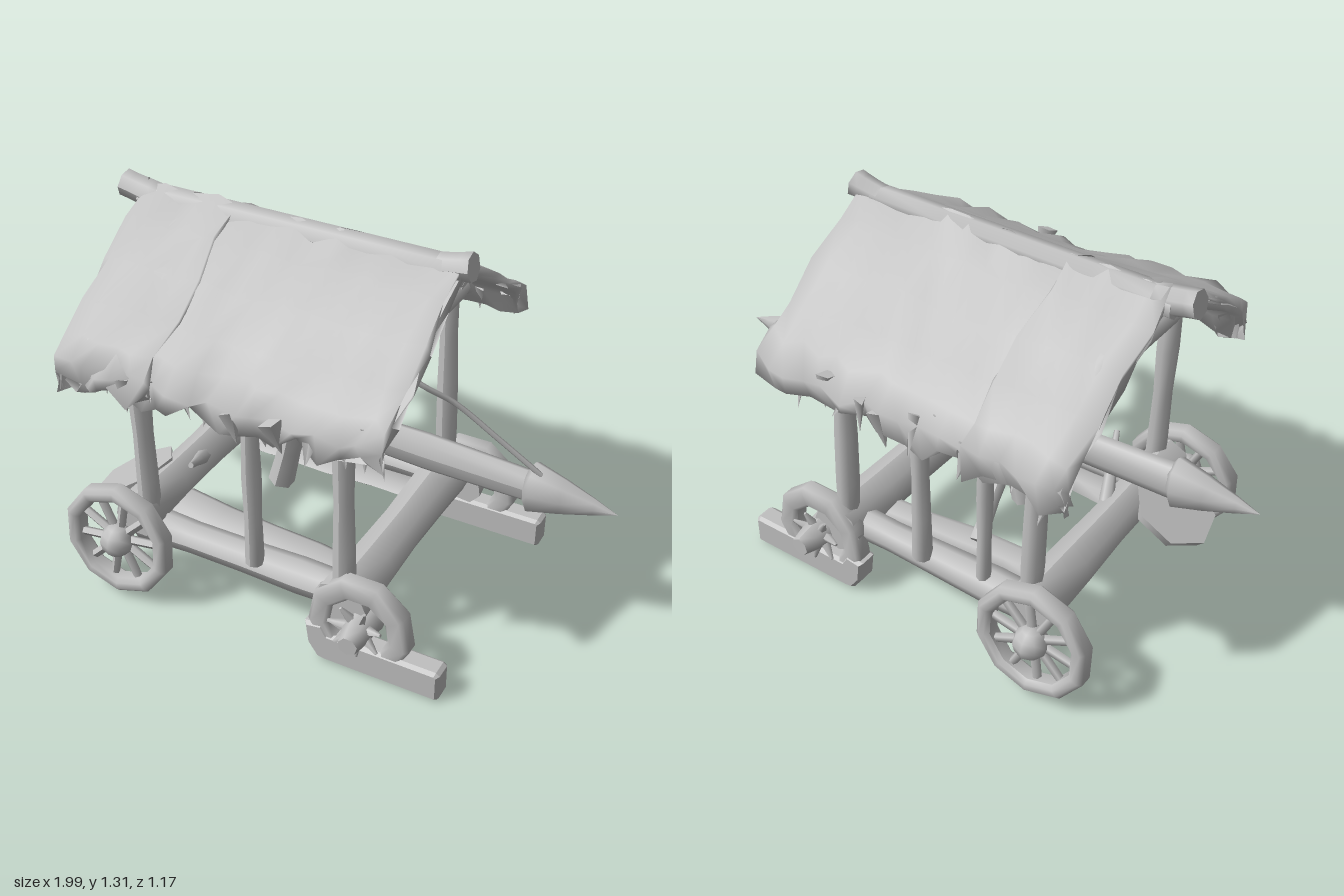
import * as THREE from 'three';

const V = (x, y, z) => new THREE.Vector3(x, y, z);

export function createModel() {
  const root = new THREE.Group();
  root.name = 'batteringRam';
  const mat = new THREE.MeshStandardMaterial({ color: 0xc0c0c0, side: THREE.DoubleSide });
  mat.name = 'weatheredGrey';

  let seed = 7;
  const rnd = () => {
    seed = (seed * 16807) % 2147483647;
    return seed / 2147483647 - 0.5;
  };

  const add = (name, geo, parent = root) => {
    const m = new THREE.Mesh(geo, mat);
    m.name = name;
    parent.add(m);
    return m;
  };

  // Rough log from a to b
  const log = (name, a, b, r0, r1 = r0, sides = 8, parent = root) => {
    const dir = b.clone().sub(a);
    const g = new THREE.CylinderGeometry(r1, r0, dir.length(), sides, 4);
    const p = g.attributes.position;
    for (let i = 0; i < p.count; i++) {
      const k = 1 + 0.09 * Math.sin(p.getY(i) * 23 + a.x * 9 + a.z * 5);
      p.setX(i, p.getX(i) * k);
      p.setZ(i, p.getZ(i) * k);
    }
    g.computeVertexNormals();
    const m = add(name, g, parent);
    m.position.copy(a).add(b).multiplyScalar(0.5);
    m.quaternion.setFromUnitVectors(V(0, 1, 0), dir.normalize());
    return m;
  };

  // Rounded wheel rim whose axis lies along z
  const rim = (outer, inner, half, sides) => {
    const c = 0.014;
    const pts = [
      [inner, -half + c], [inner + c, -half], [outer - c, -half], [outer, -half + c],
      [outer, half - c], [outer - c, half], [inner + c, half], [inner, half - c], [inner, -half + c],
    ].map(([r, y]) => new THREE.Vector2(r, y));
    return new THREE.LatheGeometry(pts, sides).rotateX(Math.PI / 2);
  };

  for (const s of [1, -1]) {
    const side = s > 0 ? 'front' : 'back';

    // Spoked wheel
    const wheel = new THREE.Group();
    wheel.name = side + 'SpokedWheel';
    wheel.position.set(-0.52, 0.22, 0.475 * s);
    wheel.rotation.x = -0.06 * s;
    root.add(wheel);
    add('rim', rim(0.203, 0.152, 0.035, 10), wheel);
    for (let i = 0; i < 10; i++) {
      const a = (i / 10) * Math.PI * 2 + 0.15;
      const c = Math.cos(a), d = Math.sin(a);
      log('spoke', V(c * 0.03, d * 0.03, 0), V(c * 0.165, d * 0.165, 0), 0.018, 0.013, 5, wheel);
    }
    const hub = add('hub', new THREE.SphereGeometry(0.058, 8, 6), wheel);
    hub.position.z = 0.015 * s;

    // Broken wheel sunk into a chock block
    const broken = new THREE.Group();
    broken.name = side + 'ChockedWheel';
    broken.position.set(0.35, 0.175, 0.425 * s);
    root.add(broken);
    add('rim', rim(0.178, 0.105, 0.036, 9), broken);
    log('hub', V(0, 0, -0.05 * s), V(0.01, 0, 0.115 * s), 0.07, 0.03, 7, broken);
    for (let i = 0; i < 7; i++) {
      const a = (i / 7) * Math.PI * 2 + 0.3;
      const c = Math.cos(a), d = Math.sin(a);
      log('spokeStump', V(c * 0.03, d * 0.03, 0.03 * s), V(c * 0.095, d * 0.095, 0.05 * s), 0.02, 0.005, 5, broken);
    }
    const shape = new THREE.Shape([
      [-0.185, -0.04], [-0.175, -0.12], [-0.14, -0.17], [-0.11, -0.175], [0.275, -0.175], [0.283, -0.165],
      [0.283, -0.075], [0.27, -0.065], [0.1, -0.065], [-0.1, -0.065], [-0.12, -0.03],
    ].map(([x, y]) => new THREE.Vector2(x, y)));
    const block = new THREE.ExtrudeGeometry(shape, {
      depth: 0.054, bevelThickness: 0.013, bevelSize: 0.01, bevelOffset: -0.01, bevelSegments: 1,
    }).translate(0, 0, -0.027);
    add('chock', block, broken);

    // Chassis side beam, posts and wall plate
    log(side + 'SideBeam', V(-0.5, 0.225, 0.36 * s), V(0.3, 0.22, 0.36 * s), 0.06, 0.055);
    log(side + 'CornerPost', V(-0.45, 0.25, 0.385 * s), V(-0.465, 0.96, 0.38 * s), 0.036);
    log(side + 'CornerPost', V(0.27, 0.22, 0.385 * s), V(0.255, 0.96, 0.375 * s), 0.038, 0.034);
    log(side + 'MiddlePost', V(-0.045, 0.25, 0.4 * s), V(-0.05, 0.93, 0.4 * s), 0.032, 0.028);
    log(side + 'WallPlate', V(-0.5, 0.95, 0.39 * s), V(0.3, 0.95, 0.39 * s), 0.028);

    // Rafters
    for (const x of [-0.47, 0.27])
      log(side + 'Rafter', V(x, 1.2, 0), V(x, 0.895, 0.52 * s), 0.038, 0.034, 6);

    // Board under the deck
    log(side + 'Board', V(-0.44, 0.23, 0.22 * s), V(0.25, 0.2, 0.25 * s), 0.05, 0.045, 6).scale.set(0.6, 1, 1.35);
  }
  log('backBracePost', V(-0.27, 0.25, -0.38), V(-0.28, 0.95, -0.38), 0.025);

  // Cross beams and roof ties
  log('broadCrossBeam', V(0.28, 0.225, 0.44), V(0.28, 0.225, -0.44), 0.087, 0.087, 8);
  log('axleBeam', V(-0.48, 0.295, 0.43), V(-0.48, 0.295, -0.43), 0.077, 0.077, 7);
  for (const x of [-0.46, 0.26]) {
    log('tieBeam', V(x, 0.935, 0.42), V(x, 0.94, -0.42), 0.044);
    log('kingPost', V(x, 0.95, 0), V(x, 1.22, 0), 0.027);
  }

  // Ram with a pointed head at each end
  const ram = new THREE.Group();
  ram.name = 'ram';
  ram.position.set(0, 0.583, 0);
  ram.rotation.z = -0.04;
  root.add(ram);
  log('ramShaft', V(-0.77, 0, 0), V(0.74, 0, 0), 0.065, 0.062, 9, ram).scale.z = 0.55;
  for (const s of [1, -1]) {
    const head = new THREE.LatheGeometry([
      [0, -0.02], [0.06, -0.02], [0.094, 0], [0.065, 0.1], [0.03, 0.2], [0, 0.275],
    ].map(([r, y]) => new THREE.Vector2(r, y)), 8);
    const m = add('ramHead', head, ram);
    m.position.x = 0.72 * s;
    m.rotation.z = -Math.PI / 2 * s;
    m.scale.z = 0.65;
  }
  log('ramCollar', V(-0.27, 0.01, 0), V(-0.1, -0.01, 0), 0.035, 0.075, 6, ram);

  // Ram stand and loose timbers
  log('ramStand', V(-0.175, 0.27, 0), V(-0.11, 0.54, 0), 0.042, 0.045, 6);
  log('looseStake', V(-0.46, 0.3, 0.03), V(-0.35, 0.45, 0.285), 0.028, 0.01, 6);
  log('looseStake', V(-0.13, 0.45, -0.04), V(-0.17, 0.28, -0.27), 0.026, 0.026, 6);
  const slab = add('tiltedSlab', new THREE.CylinderGeometry(0.15, 0.14, 0.035, 7));
  slab.position.set(-0.615, 0.285, 0.22);
  slab.rotation.z = 0.5;

  // Hanging rope
  const rope = new THREE.CatmullRomCurve3([
    V(0.37, 0.985, 0.215), V(0.42, 0.94, 0.19), V(0.5, 0.86, 0.12), V(0.62, 0.74, 0.065), V(0.75, 0.62, 0.02),
  ]);
  add('rope', new THREE.TubeGeometry(rope, 24, 0.009, 5));

  // Thatch slope: lumpy outer skin, drooping ragged eave, then the underside
  const profile = [
    [0, 1.27], [0.12, 1.2], [0.25, 1.118], [0.38, 1.032], [0.48, 0.975], [0.55, 0.92], [0.535, 0.84],
    [0.505, 0.84], [0.48, 0.9], [0.44, 0.95], [0.36, 1.005], [0.24, 1.078], [0.11, 1.157], [0, 1.225],
  ];
  const K = profile.length;
  const thatch = (name, x0, x1, s, cols, lift) => {
    const pos = [], idx = [];
    for (let i = 0; i <= cols + 2; i++) {
      const cap = i === 0 || i === cols + 2;
      const t = (Math.min(Math.max(i, 1), cols + 1) - 1) / cols;
      const rag = rnd() * 0.08, wob = rnd() * 0.035;
      for (let k = 0; k < K; k++) {
        const [z, y] = profile[k], [z2, y2] = profile[K - 1 - k];
        const eave = k >= 4 && k <= 8 ? 1 : 0;
        const tip = k === 6 || k === 7 ? 1 : 0;
        const outer = k < 7 ? 1 : 0;
        const x = x0 + (x1 - x0) * t + (k > 0 && k < K - 1 ? rnd() * 0.035 : 0);
        pos.push(
          x,
          (cap ? (y + y2) / 2 : y) + outer * (lift + rnd() * 0.028) + tip * rag,
          s * ((cap ? (z + z2) / 2 : z) + eave * (wob + rnd() * 0.045 + lift)),
        );
      }
    }
    for (let i = 0; i < cols + 2; i++)
      for (let k = 0; k < K - 1; k++) {
        const a = i * K + k, b = a + K;
        if (s > 0) idx.push(a, a + 1, b, b, a + 1, b + 1);
        else idx.push(a, b, a + 1, b, b + 1, a + 1);
      }
    const g = new THREE.BufferGeometry();
    g.setAttribute('position', new THREE.Float32BufferAttribute(pos, 3));
    g.setIndex(idx);
    g.computeVertexNormals();
    add(name, g);
  };
  for (const s of [1, -1]) {
    thatch('thatchSlope', -0.63, 0.455, s, 16, 0);
    thatch('thatchOverlay', -0.64, -0.31, s, 5, 0.015);

    // Loose straw tufts along the eave
    for (let i = 0; i < 12; i++) {
      const x = -0.57 + i * 0.088 + rnd() * 0.05;
      const tuft = new THREE.ConeGeometry(0.035, 0.12 + rnd() * 0.05, 4).rotateX(Math.PI);
      const m = add('strawTuft', tuft);
      m.position.set(x, 0.87 + rnd() * 0.04, s * (0.515 + rnd() * 0.06));
      m.rotation.set(-s * (0.2 + rnd() * 0.9), rnd() * 2, rnd());
      m.scale.z = 0.5;
    }
  }

  // Ridge roll, flared at both ends
  log('ridgeRoll', V(-0.66, 1.235, 0), V(0.4, 1.235, 0), 0.045, 0.043, 7);
  log('ridgeEnd', V(-0.73, 1.262, 0), V(-0.6, 1.235, 0), 0.05, 0.044, 7);
  log('ridgeEnd', V(0.48, 1.255, 0), V(0.36, 1.235, 0), 0.046, 0.043, 7);

  return root;
}
